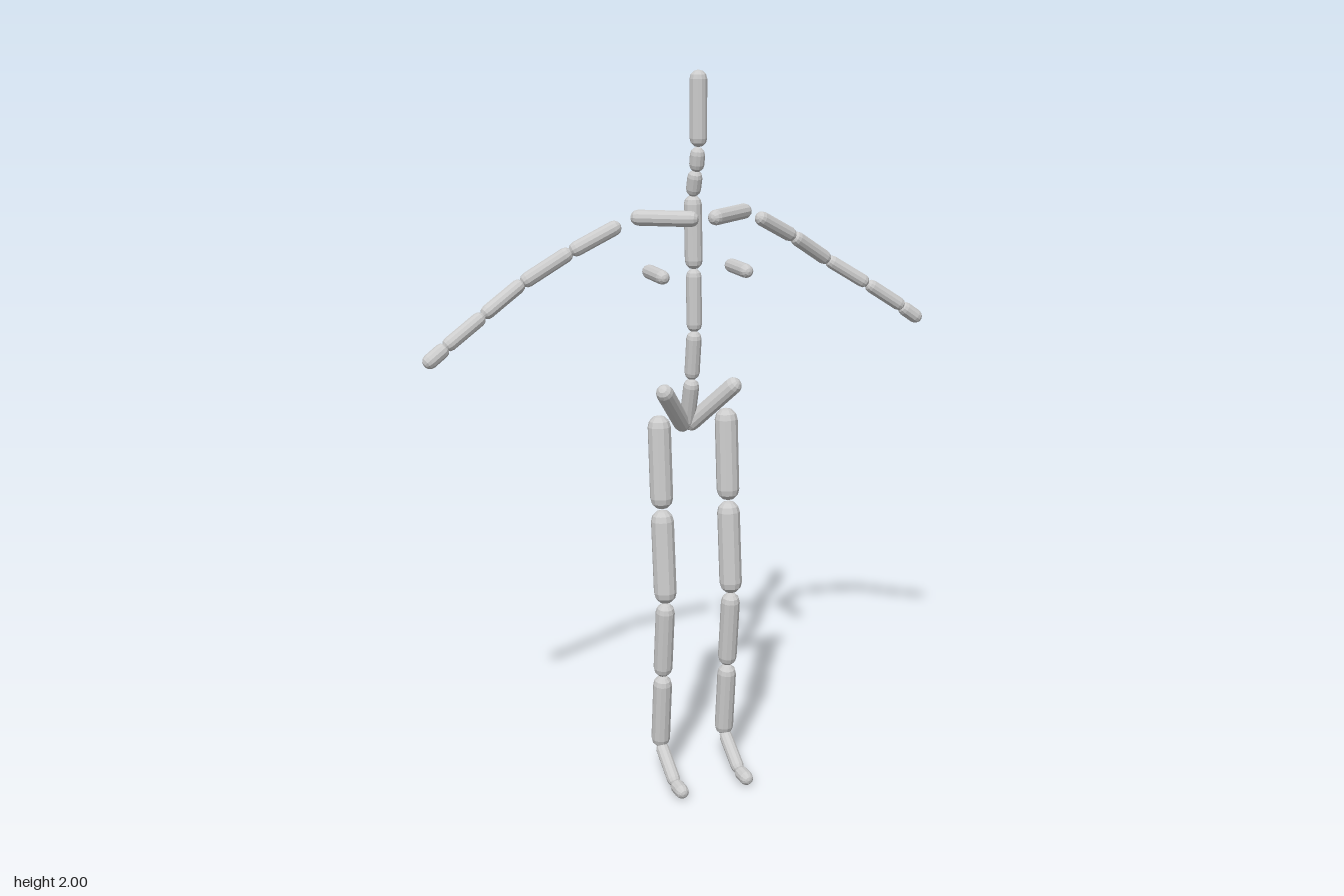
import * as THREE from 'three';

// Grey jointed figure: every bone is a faceted capsule between two tip points.
export function createModel() {
  const group = new THREE.Group();
  group.name = 'boneFigure';
  const grey = new THREE.MeshStandardMaterial({ color: 0xcccccc, flatShading: true });
  grey.name = 'boneGrey';
  const up = new THREE.Vector3(0, 1, 0);

  // Capsule whose rounded tips touch points a and b
  function bone(name, r, a, b) {
    const start = new THREE.Vector3(...a);
    const end = new THREE.Vector3(...b);
    const axis = end.clone().sub(start);
    const length = Math.max(axis.length() - 2 * r, 0.004);
    const mesh = new THREE.Mesh(new THREE.CapsuleGeometry(r, length, 3, 12), grey);
    mesh.name = name;
    mesh.position.copy(start).add(end).multiplyScalar(0.5);
    mesh.quaternion.setFromUnitVectors(up, axis.normalize());
    group.add(mesh);
  }

  // Head, neck and spine on the centre line
  const centre = [
    ['head', 0.023, [0, 1.803, 0], [0, 2, 0]],
    ['upperNeck', 0.02, [0, 1.738, -0.014], [0, 1.803, -0.002]],
    ['lowerNeck', 0.02, [0, 1.672, -0.038], [0, 1.742, -0.017]],
    ['chest', 0.024, [0, 1.478, -0.03], [0, 1.675, -0.038]],
    ['upperSpine', 0.021, [0, 1.308, -0.028], [0, 1.48, -0.031]],
    ['lowerSpine', 0.021, [0, 1.172, -0.046], [0, 1.31, -0.027]],
    ['spineBase', 0.022, [0, 1.028, -0.083], [0, 1.173, -0.043]],
  ];
  for (const part of centre) bone(...part);

  // Paired bones, given for the +x side and mirrored
  const paired = [
    ['Pelvis', 0.024, [0.002, 1.024, -0.092], [0.113, 1.172, 0.018]],
    ['Clavicle', 0.021, [0.018, 1.623, 0.045], [0.17, 1.623, -0.055]],
    ['Breast', 0.019, [0.12, 1.477, -0.07], [0.12, 1.477, 0.062]],
    ['UpperArm', 0.02, [0.197, 1.606, -0.056], [0.328, 1.536, -0.089]],
    ['UpperArmTwist', 0.02, [0.322, 1.54, -0.088], [0.453, 1.457, -0.12]],
    ['Forearm', 0.019, [0.447, 1.461, -0.12], [0.568, 1.385, -0.094]],
    ['ForearmTwist', 0.019, [0.563, 1.388, -0.094], [0.677, 1.313, -0.077]],
    ['Hand', 0.02, [0.667, 1.318, -0.08], [0.732, 1.272, -0.073]],
    ['Thigh', 0.032, [0.1, 0.82, -0.021], [0.1, 1.083, -0.039]],
    ['ThighTwist', 0.032, [0.1, 0.55, 0.002], [0.1, 0.818, -0.021]],
    ['Calf', 0.027, [0.1, 0.32, -0.024], [0.1, 0.549, 0.001]],
    ['CalfTwist', 0.027, [0.1, 0.092, -0.045], [0.1, 0.32, -0.022]],
    ['Foot', 0.019, [0.1, 0.1, -0.043], [0.1, 0.02, 0.07]],
    ['Toe', 0.02, [0.1, 0.023, 0.062], [0.1, 0.022, 0.134]],
  ];
  for (const [name, r, a, b] of paired) {
    for (const side of [1, -1]) {
      const flip = ([x, y, z]) => [side * x, y, z];
      bone((side > 0 ? 'left' : 'right') + name, r, flip(a), flip(b));
    }
  }
  return group;
}
